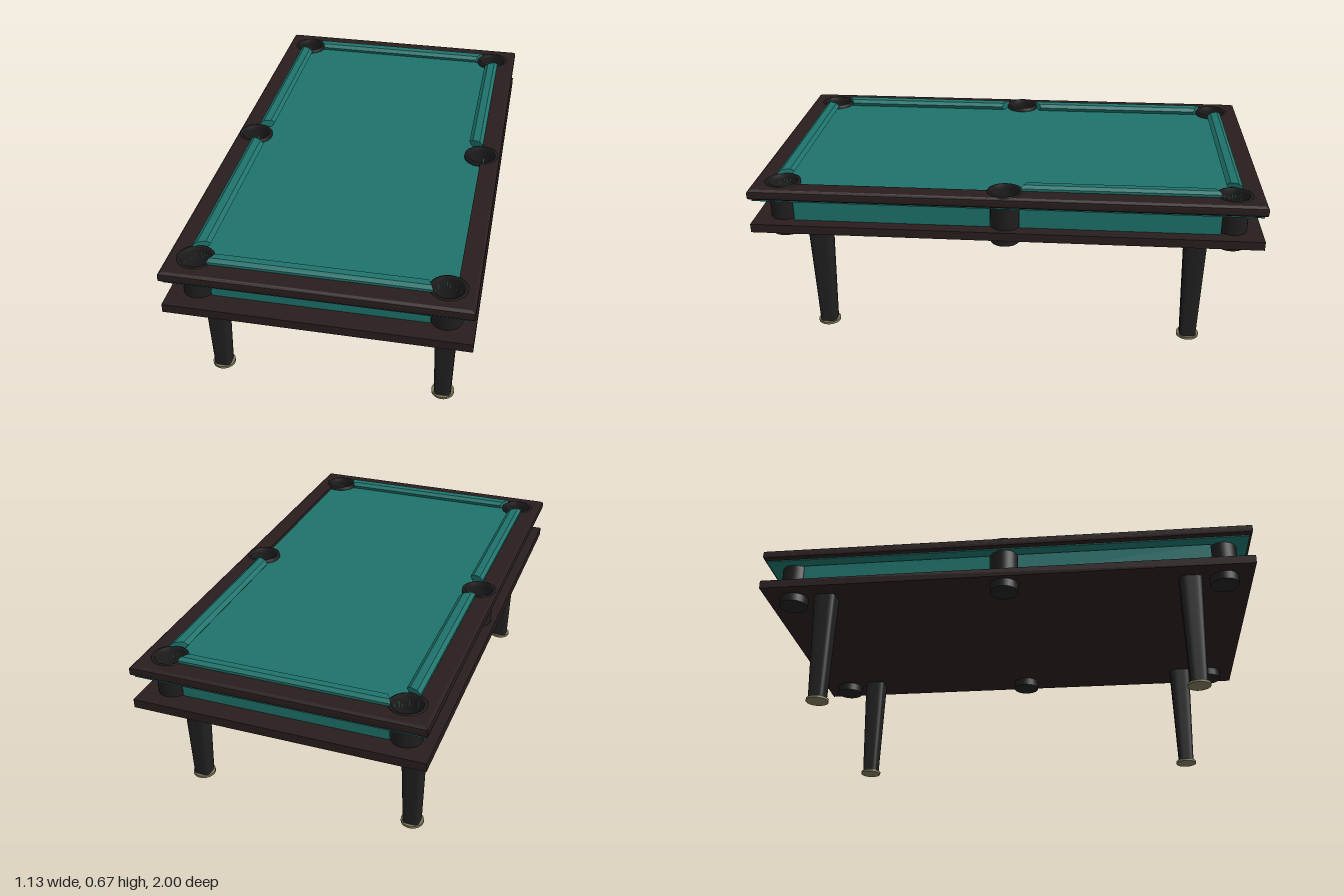
import * as THREE from 'three';

const mat = (name, color, side = THREE.FrontSide) => {
  const m = new THREE.MeshStandardMaterial({ color, side });
  m.name = name;
  return m;
};

// Pocket centres (x, z)
const CX = 0.46, CZ = 0.885, EX = 0.49, EZ = 0.92, R = 0.058;
const POCKETS = [[CX, CZ], [-CX, CZ], [-EX, 0], [-CX, -CZ], [CX, -CZ], [EX, 0]];
const HX = 0.567, HZ = 1;

// Playfield outline; arcs bulge outwards at the pockets, or bite inwards
function fieldOutline(path, bite) {
  const a = Math.atan2(-Math.sqrt(R * R - (EX - CX) ** 2), EX - CX);
  const b = Math.atan2(EZ - CZ, -Math.sqrt(R * R - (EZ - CZ) ** 2));
  const P = Math.PI;
  const arcs = [[a, b], [P - b, P - a], [P / 2, 1.5 * P], [P + a, P + b], [-b, -a], [-P / 2, P / 2]];
  POCKETS.forEach(([x, z], i) => path.absarc(x, z, R, arcs[i][0], arcs[i][1], bite));
  return path;
}

function rect(hx, hz) {
  return new THREE.Shape([[-hx, -hz], [hx, -hz], [hx, hz], [-hx, hz]].map(p => new THREE.Vector2(...p)));
}

// Horizontal slab from y0 to y1
function slab(shape, y0, y1, steps = 1) {
  const g = new THREE.ExtrudeGeometry(shape, { depth: y1 - y0, steps, curveSegments: 16, bevelEnabled: false });
  return g.rotateX(-Math.PI / 2).translate(0, y0, 0);
}

// Rail frame: slab with an opening, its outer edge rounded
function frameGeometry(y0, y1) {
  const shape = rect(HX, HZ);
  shape.holes.push(fieldOutline(new THREE.Path(), false));
  const g = slab(shape, y0, y1, 6), p = g.attributes.position;
  for (let i = 0; i < p.count; i++) {
    const x = p.getX(i), z = p.getZ(i);
    const u = Math.min(1, Math.abs(2 * (p.getY(i) - y0) / (y1 - y0) - 1));
    const inset = 0.012 * (1 - Math.sqrt(1 - u ** 4));
    if (Math.abs(x) > HX - 0.001) p.setX(i, x - Math.sign(x) * inset);
    if (Math.abs(z) > HZ - 0.001) p.setZ(i, z - Math.sign(z) * inset);
  }
  g.computeVertexNormals();
  return g;
}

// Cushion along x, back edge on z = 0, nose towards +z, ends mitred at the nose
function cushionGeometry(length) {
  const pts = [[0, 0.625], [0.04, 0.625], [0.06, 0.65], [0.045, 0.663], [0.015, 0.665], [0, 0.655]];
  const g = new THREE.ExtrudeGeometry(new THREE.Shape(pts.map(p => new THREE.Vector2(...p))),
    { depth: length, bevelEnabled: false });
  g.translate(0, 0, -length / 2);
  const p = g.attributes.position;
  for (let i = 0; i < p.count; i++) p.setZ(i, p.getZ(i) - Math.sign(p.getZ(i)) * p.getX(i) * 0.5);
  g.rotateY(-Math.PI / 2);
  g.computeVertexNormals();
  return g;
}

// Tapered leg with a rounded-square section
function legGeometry() {
  const g = new THREE.CylinderGeometry(0.046, 0.033, 0.456, 40);
  const p = g.attributes.position;
  for (let i = 0; i < p.count; i++) {
    const x = p.getX(i), z = p.getZ(i), r = Math.hypot(x, z) || 1;
    const k = x || z ? (Math.abs(x / r) ** 5 + Math.abs(z / r) ** 5) ** -0.2 : 1;
    p.setX(i, x * k);
    p.setZ(i, z * k);
  }
  g.computeVertexNormals();
  return g;
}

export function createModel() {
  const root = new THREE.Group();
  root.name = 'poolTable';
  const felt = mat('green felt', 0x1e726b);
  const wood = mat('dark wood', 0x291d1d);
  const black = mat('black', 0x202020);
  const lining = mat('pocket lining', 0x1f1d1d, THREE.DoubleSide);
  const brass = mat('dull brass', 0x7a7558);
  const add = (name, geo, m, x = 0, y = 0, z = 0) => {
    const mesh = new THREE.Mesh(geo, m);
    mesh.name = name;
    mesh.position.set(x, y, z);
    root.add(mesh);
    return mesh;
  };

  // Top rail frame, with its felt underside
  add('railFrame', frameGeometry(0.601, 0.645), wood);
  const under = rect(0.554, 0.987);
  under.holes.push(fieldOutline(new THREE.Path(), false));
  add('frameUnderside', slab(under, 0.595, 0.6), felt);

  // Playing bed
  add('bed', slab(fieldOutline(new THREE.Shape(), true), 0.595, 0.632), felt);

  // Cushions
  const endCushion = cushionGeometry(0.82), sideCushion = cushionGeometry(0.77);
  add('backCushion', endCushion, felt, 0, 0, -EZ);
  add('frontCushion', endCushion, felt, 0, 0, EZ).rotation.y = Math.PI;
  for (const z of [-0.447, 0.447])
    add('sideCushion', sideCushion, felt, -EX, 0, z).rotation.y = Math.PI / 2;
  add('sideCushion', sideCushion, felt, EX, 0, -0.447).rotation.y = -Math.PI / 2;

  // Lower shelf with holes for the pockets
  const shelf = rect(HX, HZ);
  for (const [x, z] of POCKETS) {
    const hole = new THREE.Path();
    hole.absarc(x, z, R, 0, Math.PI * 2);
    shelf.holes.push(hole);
  }
  add('shelf', slab(shelf, 0.464, 0.499), wood);

  // Apron panels between the pockets
  for (const s of [-1, 1]) {
    add('endPanel', new THREE.BoxGeometry(0.81, 0.092, 0.02), felt, 0, 0.544, s * 0.905);
    for (const z of [-0.447, 0.447])
      add('sidePanel', new THREE.BoxGeometry(0.02, 0.092, 0.78), felt, s * 0.505, 0.544, z);
  }

  // Pockets: tube, collar and underside
  const tube = new THREE.CylinderGeometry(0.058, 0.058, 0.21, 32, 1, true);
  const collar = new THREE.LatheGeometry([[0.071, 0.625], [0.07, 0.645], [0.063, 0.648], [0.057, 0.645], [0.057, 0.625]]
    .map(p => new THREE.Vector2(...p)), 32);
  const base = new THREE.CircleGeometry(0.058, 32).rotateX(Math.PI / 2);
  for (const [x, z] of POCKETS) {
    add('pocketTube', tube, lining, x, 0.535, z);
    add('pocketCollar', collar, lining, x, 0, z);
    add('pocketBase', base, black, x, 0.43, z);
  }

  // Tapered legs with brass feet
  const leg = legGeometry();
  const foot = new THREE.CylinderGeometry(0.045, 0.045, 0.01, 32);
  for (const x of [-0.45, 0.45]) for (const z of [-0.75, 0.75]) {
    add('leg', leg, black, x, 0.238, z);
    add('foot', foot, brass, x, 0.005, z);
  }
  return root;
}
